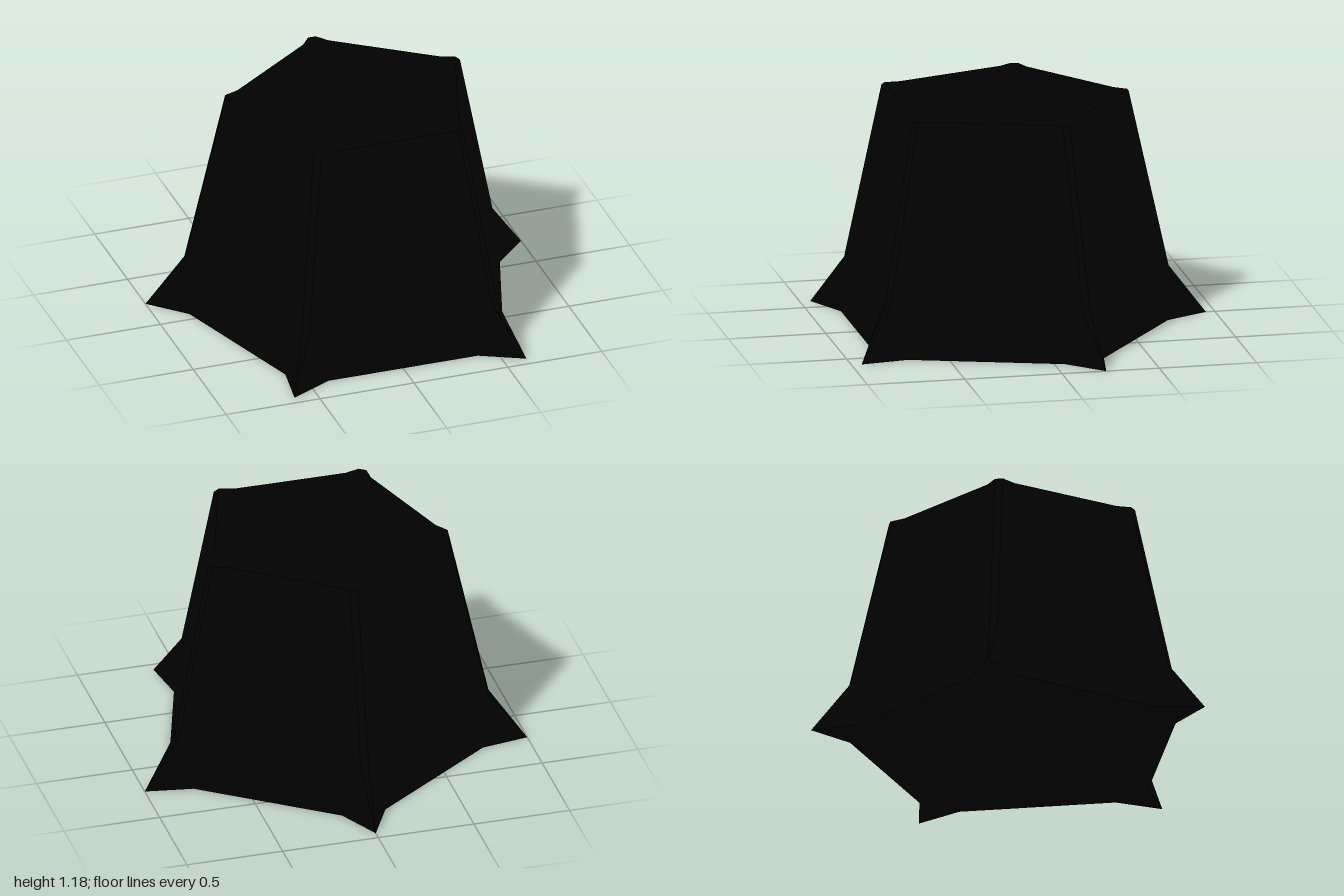
import * as THREE from 'three';

const CENTER_Z = 0.097;
const SIDES = 5;

// Corner i of a pentagon with radius r (corner 0 points to the back).
function corner(i, r, y) {
  const a = (i / SIDES) * Math.PI * 2;
  return new THREE.Vector3(r * Math.sin(a), y, CENTER_Z - r * Math.cos(a));
}

// Point at distance d from corner i along the edge towards corner i + step, moved inwards by inset.
function besideCorner(i, step, r, y, d, inset = 0) {
  const inward = corner(i + step / 2, -1, 0).setZ(-corner(i + step / 2, 1, 0).z + CENTER_Z);
  const p = corner(i, r, y);
  return p.add(corner(i + step, r, y).sub(p).setLength(d)).addScaledVector(inward, inset);
}

export function createModel() {
  const group = new THREE.Group();
  const positions = [];
  const tri = (...pts) => pts.forEach((p) => positions.push(p.x, p.y, p.z));
  const quad = (a, b, c, d) => { tri(a, b, c); tri(a, c, d); };

  // Each corner: blunt rib edge, rib root against the recessed wall, floor notches and spur tip.
  const pair = (...args) => (i) => [-1, 1].map((step) => besideCorner(i, step, ...args));
  const topEdge = pair(0.665, 1.18, 0.025);
  const topRoot = pair(0.665, 1.18, 0.1, 0.022);
  const midEdge = pair(0.87, 0.26, 0.025);
  const midRoot = pair(0.87, 0.26, 0.12, 0.02);
  const notch = pair(0.914, 0, 0.14);
  const section = (i) => ({
    top: topEdge(i),
    topRoot: topRoot(i),
    mid: midEdge(i),
    midRoot: midRoot(i),
    foot: notch(i),
    tip: corner(i, 1.051, 0),
  });

  const topCenter = new THREE.Vector3(0, 1.18, CENTER_Z);
  const baseCenter = new THREE.Vector3(0, 0, CENTER_Z);

  for (let i = 0; i < SIDES; i++) {
    const s = section(i);
    const n = section((i + 1) % SIDES);

    // Recessed sloping wall and its flared lower band
    quad(n.topRoot[0], n.midRoot[0], s.midRoot[1], s.topRoot[1]);
    quad(n.midRoot[0], n.foot[0], s.foot[1], s.midRoot[1]);

    // Corner rib: blunt edge and two flanks
    quad(s.top[1], s.mid[1], s.mid[0], s.top[0]);
    quad(s.topRoot[1], s.midRoot[1], s.mid[1], s.top[1]);
    quad(s.top[0], s.mid[0], s.midRoot[0], s.topRoot[0]);

    // Pointed spur at the foot of the rib
    tri(s.mid[1], s.tip, s.mid[0]);
    quad(s.mid[0], s.tip, s.foot[0], s.midRoot[0]);
    quad(s.midRoot[1], s.foot[1], s.tip, s.mid[1]);

    // Flat top
    tri(topCenter, s.top[0], s.topRoot[0]);
    tri(topCenter, s.top[1], s.top[0]);
    tri(topCenter, s.topRoot[1], s.top[1]);
    tri(topCenter, n.topRoot[0], s.topRoot[1]);

    // Flat underside
    tri(baseCenter, s.foot[0], s.tip);
    tri(baseCenter, s.tip, s.foot[1]);
    tri(baseCenter, s.foot[1], n.foot[0]);
  }

  const geometry = new THREE.BufferGeometry();
  geometry.setAttribute('position', new THREE.Float32BufferAttribute(positions, 3));
  geometry.computeVertexNormals();

  const body = new THREE.Mesh(
    geometry,
    new THREE.MeshStandardMaterial({ color: 0x010101, flatShading: true })
  );
  body.name = 'pentagonalPedestal';
  group.add(body);
  group.name = 'pedestal';
  return group;
}
